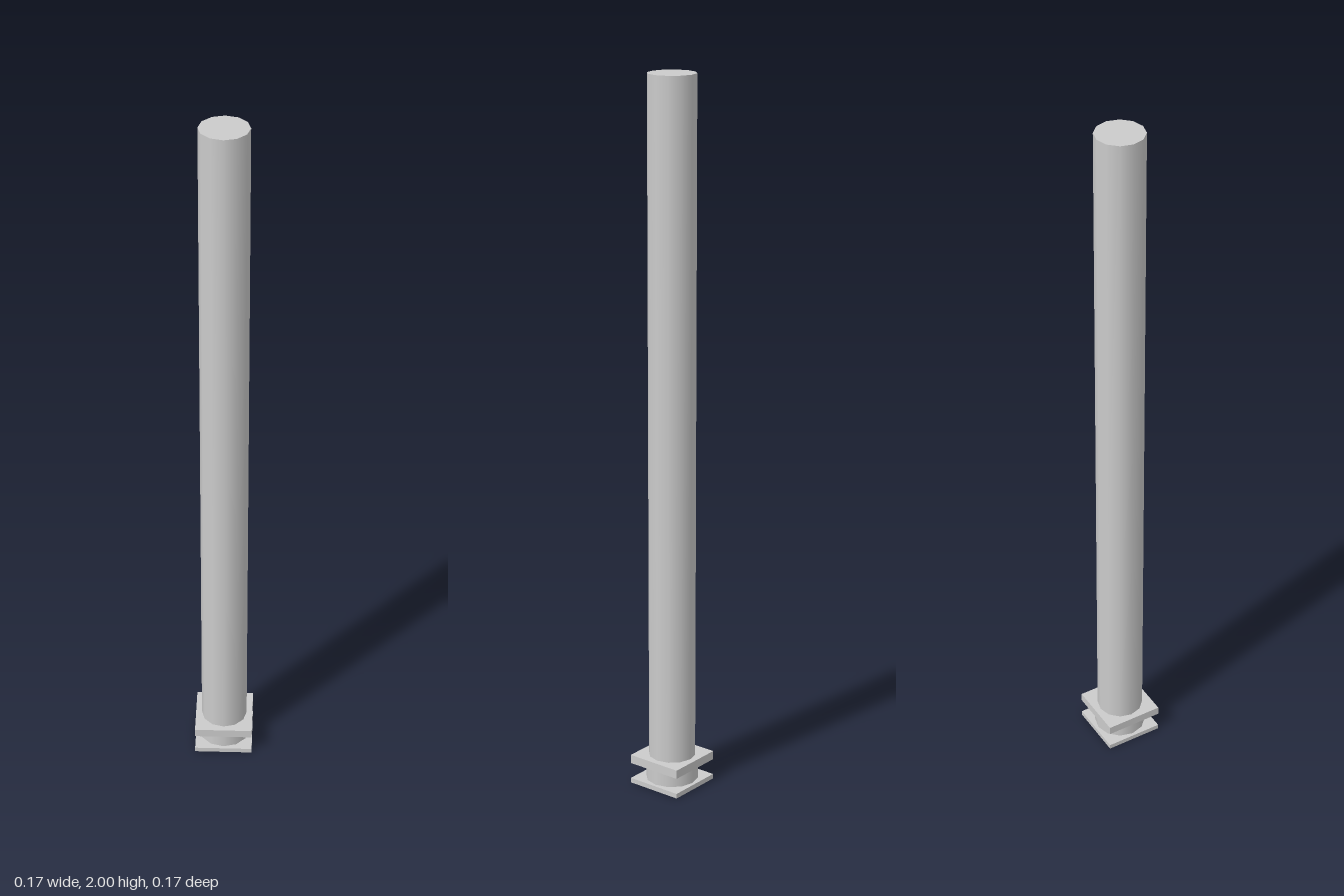
import * as THREE from 'three';

export function createModel() {
  const group = new THREE.Group();
  const material = new THREE.MeshStandardMaterial({ color: 0xcccccc });

  const add = (name, geometry, bottom, height) => {
    const mesh = new THREE.Mesh(geometry, material);
    mesh.name = name;
    mesh.position.y = bottom + height / 2;
    group.add(mesh);
  };
  const slab = (name, bottom, height) =>
    add(name, new THREE.BoxGeometry(0.166, height, 0.166), bottom, height);
  const drum = (name, radius, bottom, height) =>
    add(name, new THREE.CylinderGeometry(radius, radius, height, 12), bottom, height);

  // Square plinth, round neck and square upper slab
  slab('plinth', 0, 0.014);
  drum('baseNeck', 0.074, 0.014, 0.046);
  slab('upperSlab', 0.06, 0.025);

  // Tall twelve-sided shaft
  drum('shaft', 0.066, 0.085, 1.915);

  return group;
}
